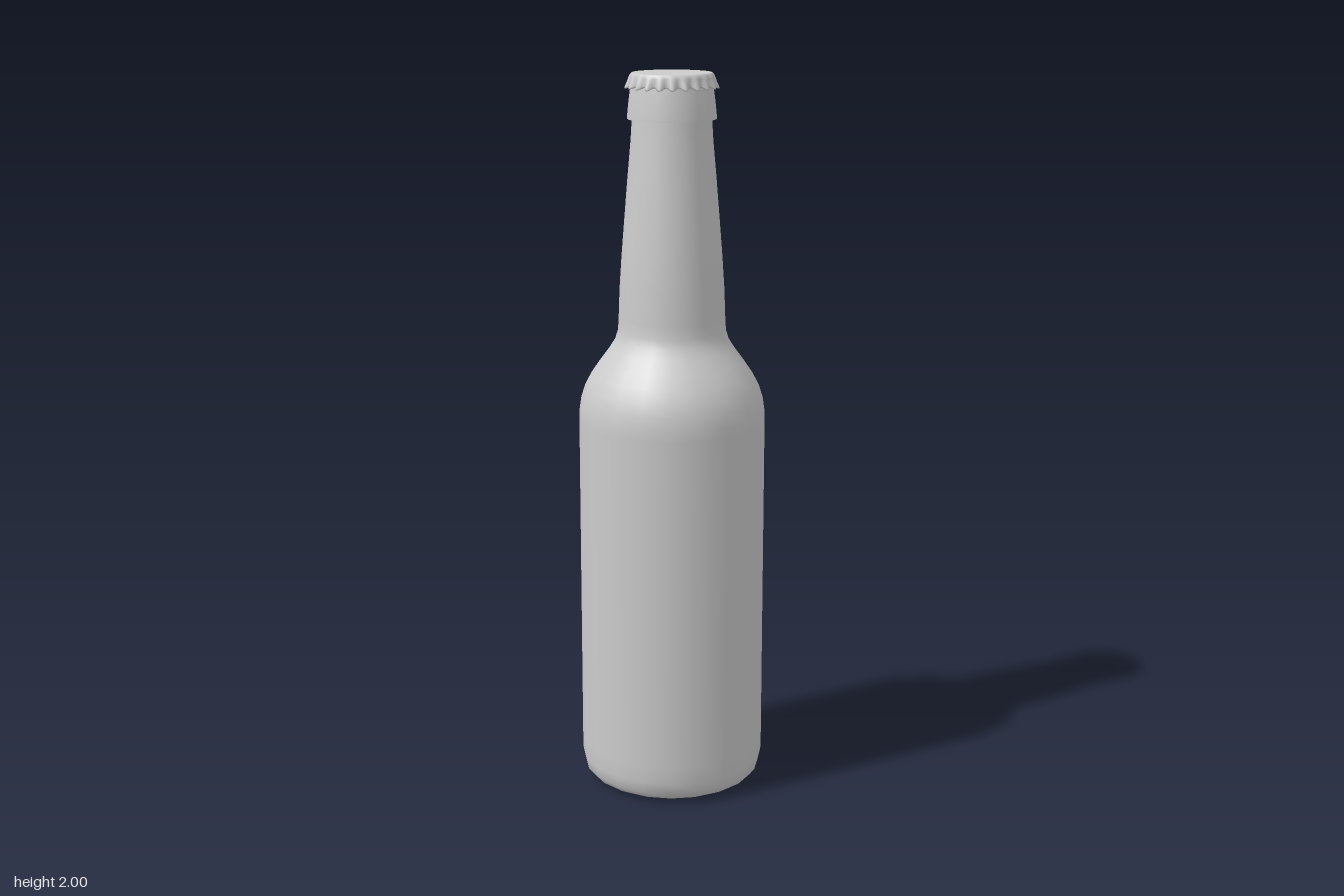
import * as THREE from 'three';
import { mergeVertices } from 'three/addons/utils/BufferGeometryUtils.js';

const material = new THREE.MeshStandardMaterial({ color: 0xcccccc });
const SIDES = 20;
const TEETH = 22;

function lathe(name, profile, sides = SIDES) {
  const points = profile.map(([r, y]) => new THREE.Vector2(r, y));
  const mesh = new THREE.Mesh(new THREE.LatheGeometry(points, sides), material);
  mesh.name = name;
  return mesh;
}

// Crown cap: a turned skirt whose lower edge is crimped into teeth
function crownCap() {
  const cap = lathe('crownCap', [
    [0.1, 1.966], [0.119, 1.962], [0.12, 1.966], [0.117, 1.977],
    [0.115, 1.988], [0.112, 1.996], [0.107, 2],
  ], TEETH * 6);
  const pos = cap.geometry.attributes.position;
  for (let i = 0; i < pos.count; i++) {
    const x = pos.getX(i), y = pos.getY(i), z = pos.getZ(i);
    const r = Math.hypot(x, z);
    if (r < 0.105) continue;
    const depth = THREE.MathUtils.clamp((1.997 - y) / 0.033, 0, 1);
    const wave = Math.cos(Math.atan2(x, z) * TEETH) * depth;
    const scale = (r + 0.0075 * wave) / r;
    pos.setXYZ(i, x * scale, y - 0.004 * wave, z * scale);
  }
  // Weld the seam so the crimping shades smoothly all round
  cap.geometry.deleteAttribute('uv');
  cap.geometry.deleteAttribute('normal');
  cap.geometry = mergeVertices(cap.geometry, 1e-5);
  cap.geometry.computeVertexNormals();
  return cap;
}

export function createModel() {
  const group = new THREE.Group();
  group.name = 'bottle';

  // Base, body, shoulder and tapering neck in one smooth turning
  group.add(lathe('glassBody', [
    [0.19, 0.005], [0.215, 0.009], [0.235, 0.02], [0.249, 0.038], [0.256, 0.07],
    [0.257, 0.12], [0.257, 1.05], [0.256, 1.08], [0.251, 1.115], [0.24, 1.15],
    [0.222, 1.185], [0.198, 1.22], [0.172, 1.255], [0.156, 1.28], [0.148, 1.305],
    [0.146, 1.34], [0.143, 1.42], [0.137, 1.51], [0.129, 1.61], [0.12, 1.72],
    [0.111, 1.82], [0.107, 1.885],
  ]));
  group.add(lathe('basePlate', [[0, 0.005], [0.19, 0.005]]));

  // Collar below the cap, with a crisp lower lip
  group.add(lathe('collarUnderside', [[0.1, 1.878], [0.12, 1.878]]));
  group.add(lathe('collar', [
    [0.12, 1.878], [0.1195, 1.89], [0.116, 1.925], [0.112, 1.955], [0.109, 1.975],
  ]));

  group.add(crownCap());
  group.add(lathe('capTop', [[0.107, 2], [0, 2]], TEETH * 6));
  return group;
}
